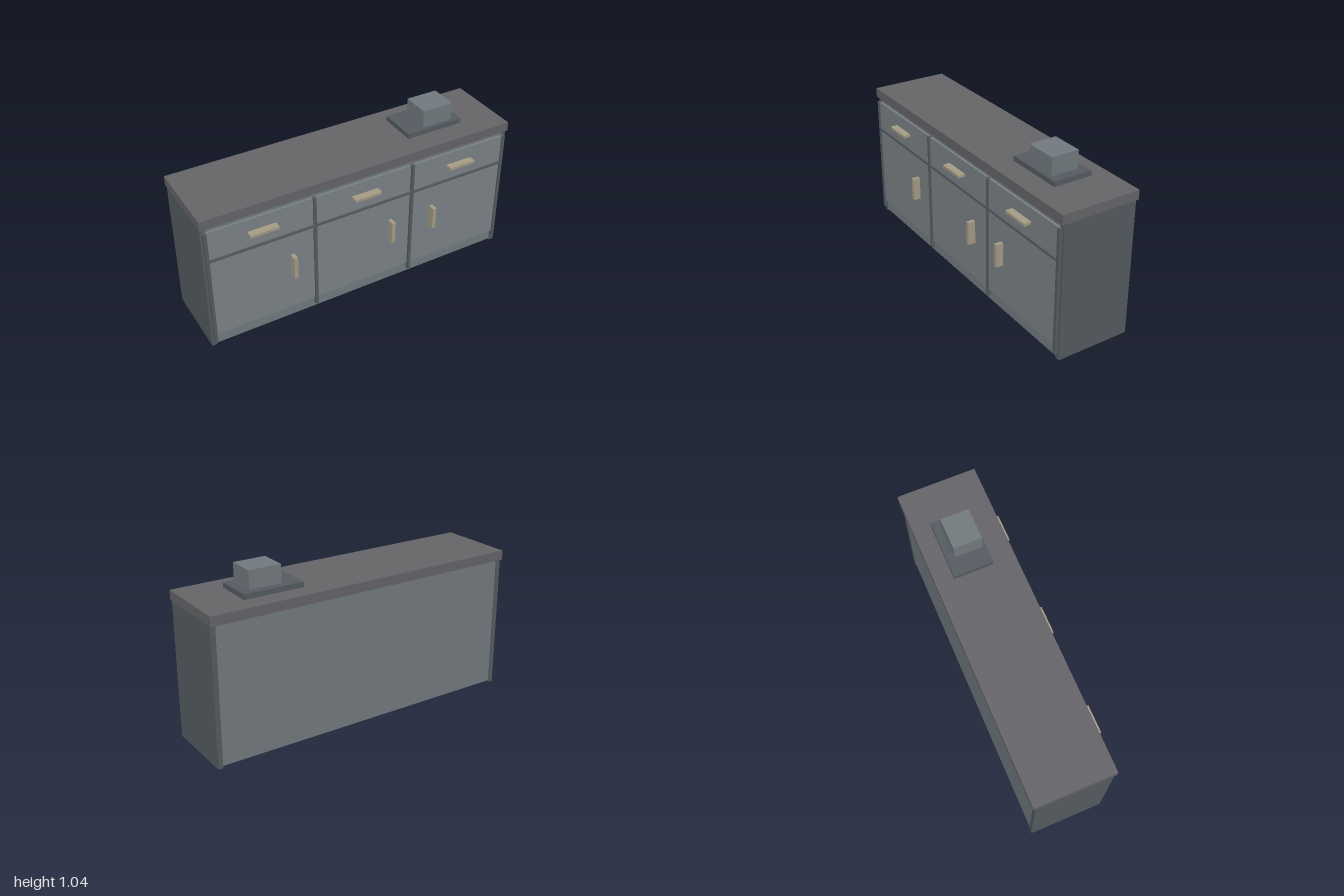
import * as THREE from 'three';

const paint = (color) => new THREE.MeshStandardMaterial({ color });
const mats = {
  body: paint(0x737b80),
  front: paint(0x7b8387),
  trim: paint(0x555c61),
  top: paint(0x66666a),
  handle: paint(0xa69d86),
};

// Box given by its minimum and maximum on each axis
function box(parent, name, mat, [x0, x1], [y0, y1], [z0, z1]) {
  const mesh = new THREE.Mesh(new THREE.BoxGeometry(x1 - x0, y1 - y0, z1 - z0), mat);
  mesh.position.set((x0 + x1) / 2, (y0 + y1) / 2, (z0 + z1) / 2);
  mesh.name = name;
  parent.add(mesh);
  return mesh;
}

export function createModel() {
  const model = new THREE.Group();
  model.name = 'sideboard';

  // Carcass, end panels and worktop
  box(model, 'carcass', mats.body, [-0.967, 0.967], [0.01, 0.835], [-0.245, 0.208]);
  for (const s of [-1, 1]) {
    const x = s * 0.982;
    box(model, s > 0 ? 'leftEndPanel' : 'rightEndPanel', mats.trim, [x - 0.015, x + 0.015], [0, 0.835], [-0.25, 0.21]);
  }
  box(model, 'worktop', mats.top, [-1, 1], [0.835, 0.893], [-0.265, 0.225]);

  // Three bays, each with a drawer above a door; grip is the door handle's x
  const bays = [
    { x: -0.649, w: 0.628, grip: -0.472 },
    { x: 0, w: 0.62, grip: 0.177 },
    { x: 0.649, w: 0.628, grip: 0.467 },
  ];
  for (const { x, w, grip } of bays) {
    const bay = new THREE.Group();
    bay.name = 'bay';
    const span = [x - w / 2, x + w / 2];
    box(bay, 'drawerFront', mats.front, span, [0.625, 0.807], [0.2, 0.222]);
    box(bay, 'doorFront', mats.front, span, [0.085, 0.613], [0.2, 0.222]);
    box(bay, 'drawerHandle', mats.handle, [x - 0.086, x + 0.086], [0.713, 0.73], [0.222, 0.267]);
    box(bay, 'doorHandle', mats.handle, [grip - 0.012, grip + 0.012], [0.325, 0.47], [0.222, 0.267]);
    model.add(bay);
  }

  // Raised upright strips and the rail under the drawers
  for (const x of [-0.974, -0.324, 0.324, 0.974]) {
    box(model, 'uprightStrip', mats.trim, [x - 0.009, x + 0.009], [0.038, 0.807], [0.205, 0.23]);
  }
  box(model, 'drawerRail', mats.trim, [-0.965, 0.965], [0.613, 0.627], [0.205, 0.232]);

  // Small block on a base plate standing on the worktop
  const ornament = new THREE.Group();
  ornament.name = 'worktopBlock';
  box(ornament, 'basePlate', mats.trim, [0.375, 0.745], [0.896, 0.927], [-0.155, 0.088]);
  box(ornament, 'block', mats.body, [0.488, 0.688], [0.927, 1.037], [-0.107, 0.067]);
  model.add(ornament);

  return model;
}
